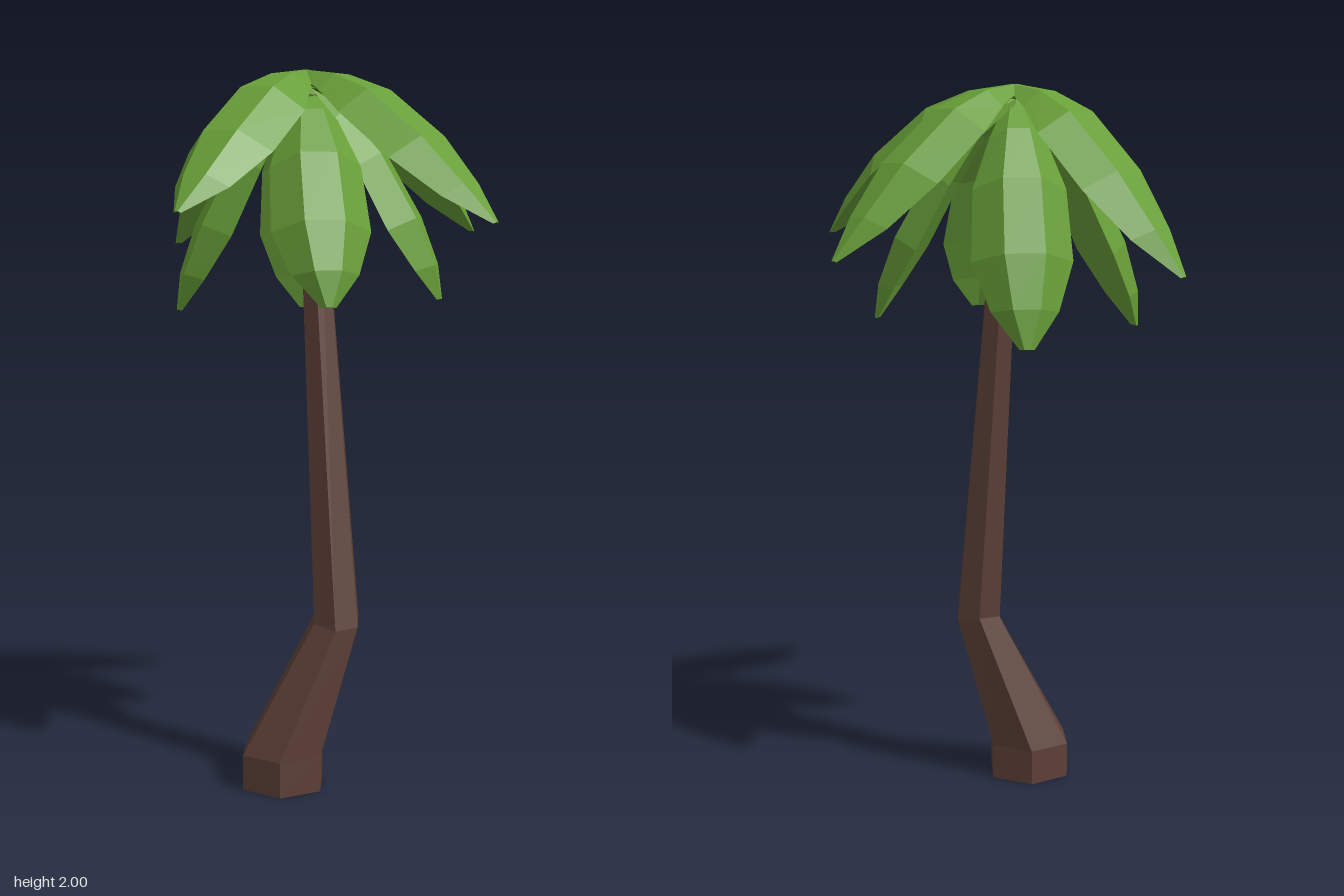
import * as THREE from 'three';

const V = (x, y, z) => new THREE.Vector3(x, y, z);
const bark = new THREE.MeshStandardMaterial({ color: 0x5d4037, flatShading: true });
const leafGreen = new THREE.MeshStandardMaterial({ color: 0x689f38, flatShading: true });

// Skins a list of equal rings (counter-clockwise about the path) and caps both ends
function loft(rings) {
  const pos = [];
  const tri = (...pts) => pts.forEach((p) => pos.push(p.x, p.y, p.z));
  const n = rings[0].length;
  for (let r = 0; r < rings.length - 1; r++) {
    for (let i = 0; i < n; i++) {
      const j = (i + 1) % n;
      const a = rings[r], b = rings[r + 1];
      tri(a[i], a[j], b[j]);
      tri(a[i], b[j], b[i]);
    }
  }
  const first = rings[0], last = rings[rings.length - 1];
  const centre = (ring) => ring.reduce((s, p) => s.add(p), V(0, 0, 0)).divideScalar(n);
  const c0 = centre(first), c1 = centre(last);
  for (let i = 0; i < n; i++) {
    const j = (i + 1) % n;
    tri(c0, first[j], first[i]);
    tri(c1, last[i], last[j]);
  }
  const geo = new THREE.BufferGeometry();
  geo.setAttribute('position', new THREE.Float32BufferAttribute(pos, 3));
  geo.computeVertexNormals();
  return geo;
}

// Six-sided bent trunk: centre x, y, z, radius, lean of the ring in x and z
function makeTrunk() {
  const stations = [
    [-0.13, 0, 0.007, 0.125, 0, 0],
    [-0.13, 0.1, 0.007, 0.125, 0, 0],
    [-0.03, 0.475, 0.12, 0.07, 0.15, -0.2],
    [0.02, 1.93, -0.025, 0.032, 0, 0],
  ];
  const rings = stations.map(([x, y, z, r, lx, lz]) =>
    Array.from({ length: 6 }, (_, i) => {
      const a = (i / 6) * Math.PI * 2 + 0.09;
      const dx = r * Math.sin(a), dz = r * Math.cos(a);
      return V(x + dx, y + dx * lx + dz * lz, z + dz);
    }));
  return new THREE.Mesh(loft(rings), bark);
}

// Arched leaf from the crown to a tip; profile rows are [reach, drop, half width]
function makeLeaf(root, tip, profile) {
  const flat = V(tip.x - root.x, 0, tip.z - root.z);
  const side = V(0, 1, 0).cross(flat).normalize();
  const path = profile.map(([reach, drop]) => {
    const p = root.clone().addScaledVector(flat, reach);
    p.y = THREE.MathUtils.lerp(root.y, tip.y, drop);
    return p;
  });
  // Roof-like section: rims, two ridges and a shallow underside
  const section = [[1, -0.55], [0.4, 0], [-0.4, 0], [-1, -0.55], [0, -0.32]];
  const rings = path.map((p, i) => {
    const before = path[Math.max(i - 1, 0)], after = path[Math.min(i + 1, path.length - 1)];
    const normal = after.clone().sub(before).normalize().cross(side);
    const w = profile[i][2];
    return section.map(([s, n]) =>
      p.clone().addScaledVector(side, s * w).addScaledVector(normal, n * w));
  });
  return new THREE.Mesh(loft(rings), leafGreen);
}

export function createModel() {
  const model = new THREE.Group();
  const trunk = makeTrunk();
  trunk.name = 'trunk';
  model.add(trunk);

  const spreading = [
    [0, 0, 0.025], [0.2, 0.04, 0.085], [0.4, 0.15, 0.13],
    [0.68, 0.46, 0.132], [0.87, 0.76, 0.085], [1, 1, 0.012],
  ];
  const drooping = [
    [0, 0, 0.025], [0.3, 0.12, 0.075], [0.57, 0.32, 0.125],
    [0.83, 0.62, 0.135], [0.96, 0.84, 0.09], [1, 1, 0.02],
  ];
  const crown = new THREE.Group();
  crown.name = 'crown';
  // Four long leaves spread outwards, four hang between them
  const leaves = [
    ['frontLeaf', [0.025, 1.59, 0.595], spreading],
    ['backLeaf', [0.105, 1.51, -0.595], spreading],
    ['leftLeaf', [0.57, 1.55, 0.17], spreading],
    ['rightLeaf', [-0.57, 1.62, 0.025], spreading],
    ['frontLeftHangingLeaf', [0.22, 1.37, 0.295], drooping],
    ['frontRightHangingLeaf', [-0.24, 1.37, 0.255], drooping],
    ['backLeftHangingLeaf', [0.29, 1.32, -0.24], drooping],
    ['backRightHangingLeaf', [-0.24, 1.34, -0.28], drooping],
  ];
  for (const [name, tip, profile] of leaves) {
    const root = V(0.045, profile === spreading ? 2 : 1.96, -0.05);
    const leaf = makeLeaf(root, V(...tip), profile);
    leaf.name = name;
    crown.add(leaf);
  }
  model.add(crown);
  return model;
}
